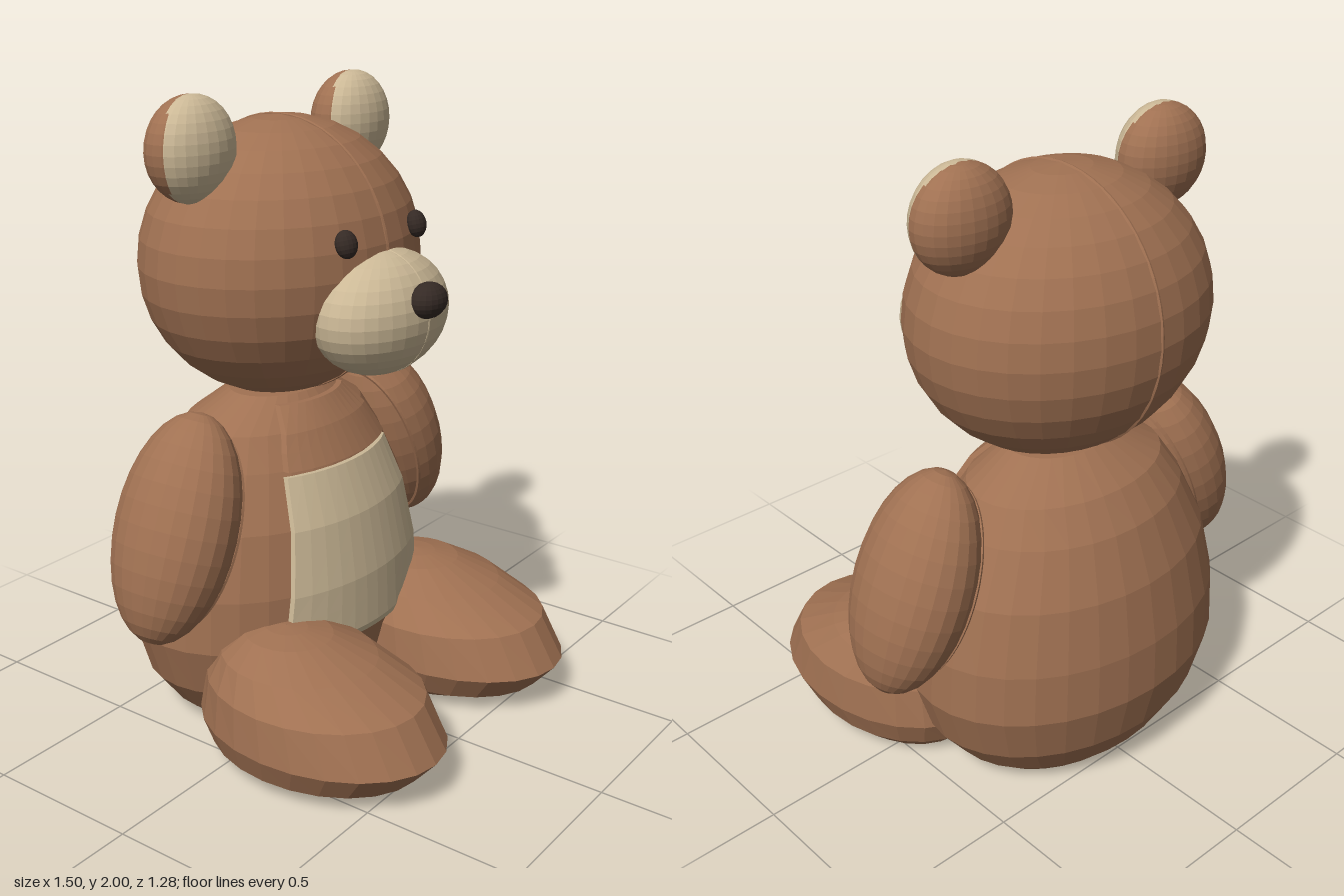
import * as THREE from 'three';

const mat = (color) => new THREE.MeshStandardMaterial({ color, flatShading: true, side: THREE.DoubleSide });
const fur = mat(0xa07152);
const cream = mat(0xcbb896);
const dark = mat(0x352a25);

function add(parent, name, geometry, material, x = 0, y = 0, z = 0) {
  const mesh = new THREE.Mesh(geometry, material);
  mesh.name = name;
  mesh.position.set(x, y, z);
  parent.add(mesh);
  return mesh;
}

const ellipsoid = (rx, ry, rz, w = 32, h = 16) => new THREE.SphereGeometry(1, w, h).scale(rx, ry, rz);

// Thin stitched seam: an ellipse in the y-z plane
function seam(ry, rz, radius = 0.006) {
  const points = [];
  for (let i = 0; i < 40; i++) {
    const a = (i / 40) * Math.PI * 2;
    points.push(new THREE.Vector3(0, Math.cos(a) * ry, Math.sin(a) * rz));
  }
  return new THREE.TubeGeometry(new THREE.CatmullRomCurve3(points, true), 64, radius, 5, true);
}

// Stack of ellipses, bottom to top: [y, half width, half depth, centre z]
function loft(rings, segments = 32) {
  const [first, last] = [rings[0], rings[rings.length - 1]];
  const rows = [[first[0], 0.001, 0.001, first[3]], ...rings, [last[0] + 0.005, 0.001, 0.001, last[3]]];
  const geo = new THREE.LatheGeometry(rows.map((r) => new THREE.Vector2(r[1], r[0])), segments);
  const p = geo.attributes.position;
  for (let i = 0; i < p.count; i++) {
    const [, w, d, cz] = rows[i % rows.length];
    p.setZ(i, cz + (p.getZ(i) * d) / w);
  }
  geo.computeVertexNormals();
  return geo;
}

const bodyRings = [
  [0, 0.35, 0.25, -0.235], [0.06, 0.42, 0.305, -0.235], [0.17, 0.505, 0.367, -0.235],
  [0.33, 0.555, 0.405, -0.235], [0.5, 0.545, 0.4, -0.235], [0.7, 0.495, 0.365, -0.235],
  [0.87, 0.41, 0.3, -0.235], [0.97, 0.345, 0.235, -0.23], [1.06, 0.19, 0.14, -0.21],
];

const legRings = [
  [0, 0.2, 0.26, 0.16], [0.055, 0.265, 0.36, 0.205], [0.14, 0.3, 0.415, 0.225],
  [0.27, 0.285, 0.36, 0.2], [0.35, 0.225, 0.25, 0.14], [0.405, 0.13, 0.14, 0.1], [0.42, 0.06, 0.07, 0.09],
];

// Front surface of the body at (x, y)
function bodyFront(x, y) {
  let i = 0;
  while (i < bodyRings.length - 2 && bodyRings[i + 1][0] < y) i++;
  const a = bodyRings[i], b = bodyRings[i + 1];
  const t = (y - a[0]) / (b[0] - a[0]);
  const [w, d, cz] = [1, 2, 3].map((k) => a[k] + (b[k] - a[k]) * t);
  return cz + d * Math.sqrt(Math.max(0, 1 - (x / w) ** 2));
}

// Raised panel following the belly; its outer rim sinks into the body
function panel(rows, lift) {
  const cols = 12;
  const geo = new THREE.PlaneGeometry(1, 1, cols + 2, rows.length + 1);
  const p = geo.attributes.position;
  for (let j = 0; j < rows.length + 2; j++) {
    for (let i = 0; i < cols + 3; i++) {
      const [y, w] = rows[Math.min(Math.max(j - 1, 0), rows.length - 1)];
      const u = Math.min(Math.max(i - 1, 0), cols) / cols;
      const x = (u * 2 - 1) * w;
      const rim = i === 0 || j === 0 || i === cols + 2 || j === rows.length + 1;
      p.setXYZ(j * (cols + 3) + i, x, y, bodyFront(x, y) + (rim ? -0.03 : lift));
    }
  }
  geo.computeVertexNormals();
  return geo;
}

export function createModel() {
  const bear = new THREE.Group();
  bear.name = 'teddyBear';

  // Torso with belly patch and chest panel
  add(bear, 'body', loft(bodyRings), fur);
  const belly = [[0.855, 0.255], [0.7, 0.29], [0.6, 0.307], [0.5, 0.325], [0.42, 0.335], [0.33, 0.345], [0.31, 0.345]];
  add(bear, 'bellyPatch', panel(belly, 0.015), cream);
  add(bear, 'chestPanel', panel([[1.04, 0.16], [0.97, 0.205], [0.92, 0.23], [0.87, 0.25]], 0.02), fur);

  // Head and face
  const head = new THREE.Group();
  head.name = 'head';
  bear.add(head);
  add(head, 'skull', ellipsoid(0.49, 0.43, 0.405), fur, 0, 1.475, -0.195);
  add(head, 'headSeam', seam(0.428, 0.403), fur, 0, 1.475, -0.195);
  add(head, 'muzzle', ellipsoid(0.265, 0.19, 0.175), cream, 0, 1.352, 0.18);
  add(head, 'muzzleSeam', seam(0.188, 0.173, 0.004), cream, 0, 1.352, 0.18);
  add(head, 'nose', ellipsoid(0.073, 0.054, 0.052, 20, 12), dark, 0, 1.41, 0.348);

  for (const s of [1, -1]) {
    const side = s > 0 ? 'left' : 'right';

    // Eye
    const eye = add(head, side + 'Eye', ellipsoid(0.036, 0.042, 0.03, 16, 10), dark, s * 0.18, 1.586, 0.184);
    eye.rotation.set(-0.25, s * 0.25, 0);

    // Ear with a cream front
    add(head, side + 'Ear', ellipsoid(0.157, 0.155, 0.107, 24, 16), fur, s * 0.385, 1.845, -0.215);
    add(head, side + 'InnerEar', ellipsoid(0.153, 0.156, 0.1, 24, 16), cream, s * 0.385, 1.845, -0.205);

    // Arm with a seam on the inner side
    const arm = new THREE.Group();
    arm.name = side + 'Arm';
    arm.position.set(s * 0.55, 0.745, -0.17);
    arm.rotation.z = s * 0.374;
    bear.add(arm);
    add(arm, side + 'ArmShape', ellipsoid(0.164, 0.354, 0.2, 24, 16), fur);
    add(arm, side + 'ArmSeam', seam(0.308, 0.174, 0.007), fur, s * -0.08);

    // Leg
    add(bear, side + 'Leg', loft(legRings, 24), fur, s * 0.355);
  }
  return bear;
}
